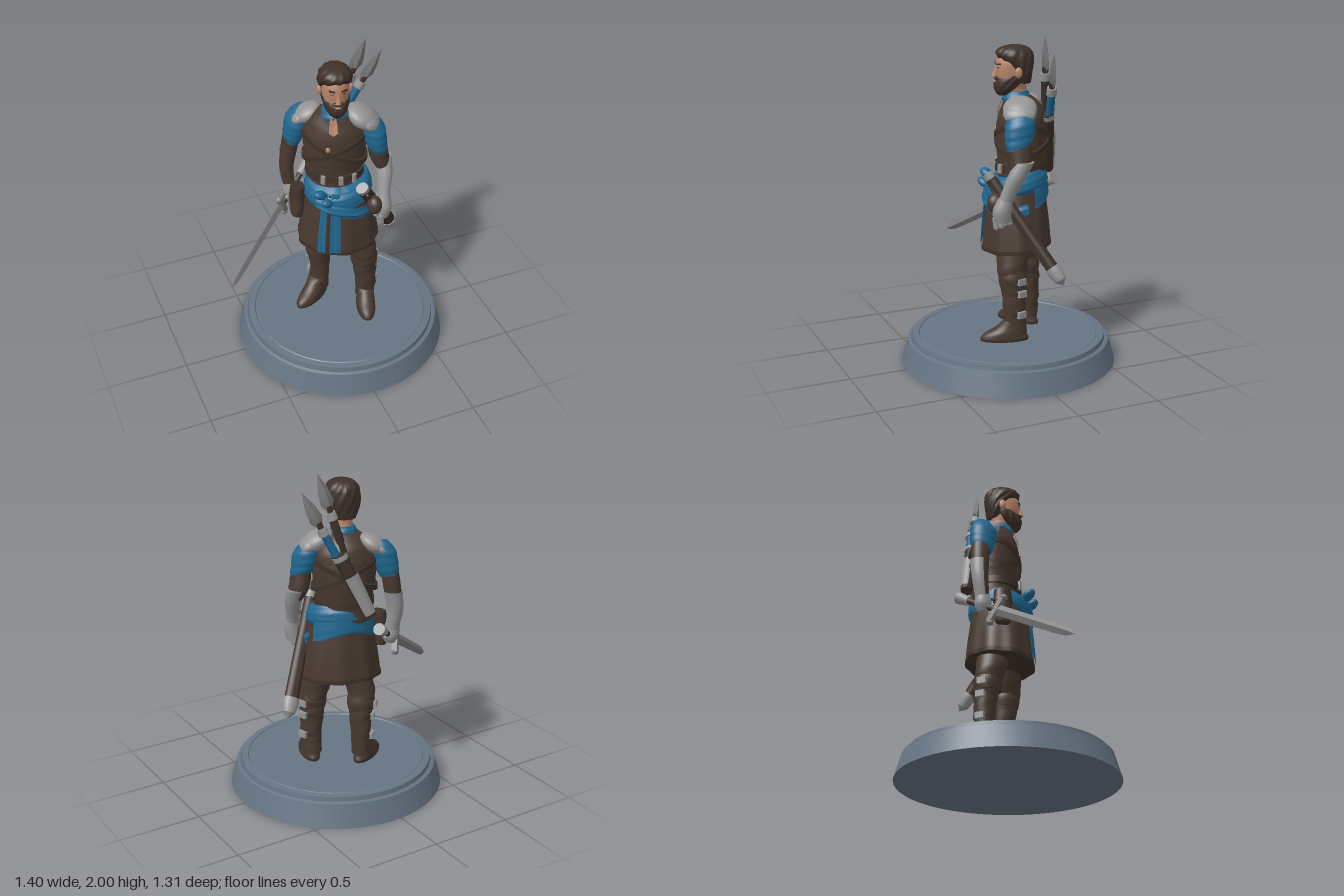
import * as THREE from 'three';
import { toCreasedNormals } from 'three/addons/utils/BufferGeometryUtils.js';

const material = (name, color) => new THREE.MeshStandardMaterial({ name, color, side: THREE.DoubleSide });
const brown = material('brown cloth', 0x483930);
const leather = material('dark leather', 0x3f3129);
const blue = material('blue cloth', 0x20678f);
const grey = material('light grey armour', 0x949494);
const steel = material('steel', 0x7c7c7c);
const skin = material('skin', 0xb98468);
const stone = material('base slate', 0x667483);

const V = (x, y, z) => new THREE.Vector3(x, y, z);

function add(parent, name, geometry, mat, pos = [0, 0, 0], rot = [0, 0, 0], scale = [1, 1, 1]) {
  const mesh = new THREE.Mesh(geometry, mat);
  mesh.name = name;
  mesh.position.set(...pos);
  mesh.rotation.set(...rot);
  mesh.scale.set(...scale);
  parent.add(mesh);
  return mesh;
}

function frame(parent, name, x, z, yaw) {
  const g = new THREE.Group();
  g.name = name;
  g.position.set(x, 0, z);
  g.rotation.y = yaw;
  parent.add(g);
  return g;
}

// group whose y axis runs from one point to another; hint sets its x axis
function aimed(parent, name, from, to, hint) {
  const g = new THREE.Group();
  const y = to.clone().sub(from).normalize();
  const z = hint.clone().cross(y).normalize();
  g.quaternion.setFromRotationMatrix(new THREE.Matrix4().makeBasis(y.clone().cross(z), y, z));
  g.position.copy(from);
  g.name = name;
  parent.add(g);
  return g;
}

// smooth skin over horizontal ellipses [x, y, z, rx, rz], listed upwards
function loft(parent, name, mat, rings, { arc = null, bump = () => 0, lift = () => 0, seg = 32, sub = 4 } = {}) {
  const rows = [];
  const at = (i) => rings[Math.min(Math.max(i, 0), rings.length - 1)];
  for (let i = 0; i < rings.length - 1; i++) {
    for (let s = 0; s < sub; s++) {
      const t = s / sub;
      rows.push(at(i).map((b, k) => {
        const a = at(i - 1)[k], c = at(i + 1)[k], d = at(i + 2)[k];
        return b + 0.5 * t * (c - a + t * (2 * a - 5 * b + 4 * c - d + t * (3 * (b - c) + d - a)));
      }));
    }
  }
  rows.push(at(rings.length - 1));
  const [a0, a1] = arc ?? [0, Math.PI * 2];
  const pos = [], idx = [], w = seg + 1;
  for (const [x, y, z, rx, rz] of rows) {
    for (let i = 0; i <= seg; i++) {
      const a = a0 + (a1 - a0) * (i / seg), k = 1 + bump(a, y);
      pos.push(x + Math.cos(a) * rx * k, y + lift(a), z + Math.sin(a) * rz * k);
    }
  }
  for (let j = 0; j < rows.length - 1; j++) {
    for (let i = 0; i < seg; i++) {
      const p = j * w + i;
      idx.push(p, p + w, p + 1, p + w, p + w + 1, p + 1);
    }
  }
  if (!arc) {
    const n = rows.length, low = rows[0], high = rows[n - 1];
    pos.push(low[0], low[1], low[2], high[0], high[1], high[2]);
    for (let i = 0; i < seg; i++) {
      idx.push(n * w, i, i + 1, n * w + 1, (n - 1) * w + i + 1, (n - 1) * w + i);
    }
  }
  const g = new THREE.BufferGeometry();
  g.setAttribute('position', new THREE.Float32BufferAttribute(pos, 3));
  g.setIndex(idx);
  return add(parent, name, toCreasedNormals(g, 0.9), mat);
}

const ball = () => new THREE.SphereGeometry(1, 24, 16);
const box = (x, y, z) => new THREE.BoxGeometry(x, y, z);
const rod = (r0, r1, h, n = 16) => toCreasedNormals(new THREE.CylinderGeometry(r1, r0, h, n), 0.7);
const profile = (pts, n) => toCreasedNormals(new THREE.LatheGeometry(pts.map((p) => new THREE.Vector2(...p)), n), 0.5);

export function createModel() {
  const model = new THREE.Group();
  model.name = 'armoured traveller';

  // round base with a raised, grooved rim
  add(model, 'base', profile([[0, 0], [0.655, 0], [0.615, 0.14], [0.598, 0.147], [0.59, 0.143], [0.585, 0.17],
    [0.548, 0.174], [0.543, 0.168], [0.537, 0.172], [0, 0.172]], 96), stone, [0.042, 0, 0]);

  // legs, boots and feet
  const legs = [
    { side: 'left', foot: [0.185, 0.087, -0.3], rings: [[0.207, 0.22, 0.015, 0.058, 0.062], [0.203, 0.35, 0.03, 0.064, 0.066],
      [0.195, 0.47, 0.03, 0.073, 0.074], [0.188, 0.56, 0.035, 0.078, 0.084], [0.17, 0.65, 0.03, 0.09, 0.095], [0.14, 0.8, 0, 0.1, 0.1]] },
    { side: 'right', foot: [-0.1, -0.13, -1.0], rings: [[-0.03, 0.22, -0.17, 0.055, 0.058], [-0.03, 0.35, -0.17, 0.06, 0.062],
      [-0.03, 0.47, -0.165, 0.067, 0.07], [-0.04, 0.56, -0.155, 0.078, 0.08], [-0.045, 0.65, -0.14, 0.085, 0.09], [0, 0.8, -0.1, 0.1, 0.1]] },
  ];
  for (const { side, foot, rings } of legs) {
    loft(model, side + 'Leg', brown, rings, { bump: (a, y) => 0.025 * Math.sin(y * 60 + 2 * a) });
    const [kx, ky, kz, kr] = rings[3];
    loft(model, side + 'BootCuff', brown, [[kx, ky - 0.05, kz, kr, kr], [kx, ky, kz, kr + 0.008, kr + 0.008], [kx, ky + 0.04, kz, kr, kr]]);
    for (const [y, i] of [[0.345, 1], [0.475, 2], [0.55, 3]]) {
      const [x, , z, rx, rz] = rings[i], s = side === 'left' ? 1 : -1;
      const a = s > 0 ? -0.25 : 3.9;
      loft(model, side + 'BootStrap', leather, [[x, y - 0.013, z, rx + 0.005, rz + 0.005], [x, y + 0.013, z, rx + 0.005, rz + 0.005]], { arc: [a - 1.1, a + 1.1] });
      add(model, side + 'BootBuckle', box(0.024, 0.038, 0.055), grey,
        [x + Math.cos(a) * (rx + 0.006), y, z + Math.sin(a) * (rz + 0.006)], [0, -a, 0]);
    }
    const f = frame(model, side + 'Foot', ...foot);
    loft(f, 'sole', leather, [[0, 0.17, 0, 0.059, 0.145], [0, 0.188, 0, 0.061, 0.147]]);
    loft(f, 'shoe', brown, [[0, 0.185, 0, 0.058, 0.142], [0, 0.215, -0.005, 0.06, 0.13], [0, 0.25, -0.035, 0.055, 0.092], [0, 0.31, -0.07, 0.058, 0.062]],
      { bump: (a, y) => 0.02 * Math.sin(y * 110) });
  }

  // coat skirt with folds, hem and hanging sash tails
  const skirt = frame(model, 'coatSkirt', 0.045, -0.05, -0.3);
  const fold = (a, y) => 0.025 * Math.cos(a * 9) * Math.min(1, (1.15 - y) * 3);
  const skirtRings = [[0, 0.725, 0, 0.245, 0.205], [0, 0.9, 0, 0.222, 0.19], [0, 1.14, 0, 0.18, 0.16]];
  const grown = (rings, d) => rings.map(([x, y, z, rx, rz]) => [x, y, z, rx + d, rz + d]);
  const sway = (a) => -0.015 * Math.sin(a);
  loft(skirt, 'skirt', brown, skirtRings, { bump: fold, lift: sway, seg: 72 });
  loft(skirt, 'hem', leather, [[0, 0.717, 0, 0.247, 0.207], [0, 0.742, 0, 0.247, 0.207]], { bump: fold, lift: sway, seg: 72 });
  for (const [a0, a1, d] of [[1.58, 1.84, 0.012], [1.95, 2.15, 0.009]]) {
    loft(skirt, 'sashTail', blue, grown(skirtRings, d), { arc: [a0, a1], bump: (a, y) => fold(a, y) + 0.012 * Math.cos(a * 45), seg: 16 });
  }
  loft(skirt, 'frontOpeningEdge', leather, grown(skirtRings, 0.008), { arc: [1.86, 1.93], bump: fold, lift: sway, seg: 4 });

  // waist sash: main wrap, lower diagonal wrap and pointed back drape
  const crease = (a, y) => 0.018 * Math.sin(y * 170 + a * 2);
  loft(skirt, 'sashWrap', blue, [[0, 1.05, 0, 0.185, 0.17], [0, 1.07, 0, 0.203, 0.188], [0, 1.13, 0, 0.198, 0.183], [0, 1.17, 0, 0.175, 0.155]],
    { bump: crease, lift: (a) => -0.035 * Math.sin(a) + 0.012 * Math.cos(a), seg: 48 });
  loft(skirt, 'sashLowerWrap', blue, [[0, 1.0, 0, 0.212, 0.193], [0, 1.03, 0, 0.222, 0.203], [0, 1.075, 0, 0.205, 0.19]],
    { arc: [-0.25, 2.3], bump: crease, lift: (a) => -0.065 * Math.cos(a - 0.3) });
  loft(skirt, 'sashBackDrape', blue, [[0, 1.01, 0, 0.212, 0.192], [0, 1.08, 0, 0.208, 0.189], [0, 1.16, 0, 0.192, 0.175]],
    { arc: [3.5, 5.8], bump: crease, lift: (a) => 0.03 * Math.cos((a - 4.65) * 2.6) + 0.005 });
  for (const [x, y, z, s] of [[-0.115, 1.135, 0.07, 1], [-0.085, 1.09, 0.105, 0.9]]) {
    add(model, 'sashKnot', ball(), blue, [x, y, z], [0, 0.5, -0.5], [0.05 * s, 0.028 * s, 0.035 * s]);
  }

  // torso, straps and belt
  const torso = frame(model, 'torso', 0.04, -0.09, -0.5);
  const trunk = [[0, 1.1, 0, 0.17, 0.148], [0, 1.22, 0, 0.165, 0.142], [0, 1.35, 0, 0.185, 0.155], [0, 1.48, 0, 0.188, 0.148],
    [0, 1.56, 0, 0.155, 0.122], [0, 1.62, 0.02, 0.085, 0.082]];
  loft(torso, 'jerkin', brown, trunk, { bump: (a, y) => 0.012 * Math.sin(y * 75 + 3 * Math.cos(a)), seg: 48 });
  for (const s of [-1, 1]) {
    loft(torso, 'chestStrap', leather, [[0, 1.365, 0, 0.196, 0.164], [0, 1.395, 0, 0.198, 0.165]], { lift: (a) => s * 0.09 * Math.cos(a) });
  }
  loft(torso, 'belt', leather, [[0, 1.185, 0.01, 0.178, 0.156], [0, 1.23, 0.01, 0.176, 0.154]]);
  for (const a of [0.75, 1.25, 1.85]) {
    add(torso, 'beltFitting', box(0.026, 0.055, 0.016), grey, [Math.cos(a) * 0.178, 1.208, 0.01 + Math.sin(a) * 0.158], [0, Math.PI / 2 - a, 0]);
  }
  loft(torso, 'openCollarSkin', skin, [[0, 1.51, 0, 0.188, 0.148], [0, 1.56, 0, 0.161, 0.13], [0, 1.6, 0.015, 0.115, 0.106]], { arc: [1.38, 1.66], lift: (a) => 0.15 * Math.abs(a - 1.52), seg: 8 });
  add(torso, 'pendant', ball(), skin, [-0.02, 1.42, 0.158], [0, 0, 0], [0.014, 0.018, 0.008]);

  // layered shoulder plates, the right one set lower and further back
  for (const [s, x, y, z, k] of [[1, 0.16, 1.57, 0, 1], [-1, 0.165, 1.555, -0.03, 0.86]]) {
    add(torso, 'shoulderPlate', ball(), grey, [s * x, y, z], [0, 0, -s * 0.5], [0.105 * k, 0.06 * k, 0.1 * k]);
    add(torso, 'shoulderPlateRim', ball(), grey, [s * (x + 0.045), y - 0.022, z], [0, 0, -s * 0.7], [0.07 * k, 0.047 * k, 0.095 * k]);
  }

  // left arm: padded sleeve, elbow, bracer and gauntlet
  const ridge = (a, y) => 0.045 * Math.abs(Math.sin(y * 62)) - 0.02;
  const backRise = { bump: ridge, sub: 8, lift: (a) => -0.018 * Math.sin(a) };
  loft(model, 'leftSleeve', blue, [[0.265, 1.365, 0.03, 0.056, 0.071], [0.25, 1.42, 0.02, 0.068, 0.088], [0.235, 1.51, 0.01, 0.072, 0.088], [0.2, 1.58, 0, 0.05, 0.06]], backRise);
  loft(model, 'leftElbow', brown, [[0.3, 1.22, 0.04, 0.045, 0.05], [0.28, 1.29, 0.025, 0.058, 0.066], [0.262, 1.39, 0.025, 0.055, 0.07]], { bump: ridge });
  loft(model, 'leftBracer', grey, [[0.268, 1.04, 0.125, 0.038, 0.046], [0.28, 1.1, 0.1, 0.039, 0.048], [0.3, 1.2, 0.058, 0.048, 0.058], [0.31, 1.285, 0.015, 0.048, 0.056]]);
  loft(model, 'leftHand', grey, [[0.256, 0.93, 0.13, 0.045, 0.05], [0.262, 1.0, 0.135, 0.053, 0.056], [0.268, 1.07, 0.118, 0.04, 0.045]]);

  // right arm: padded sleeve, forearm with outer bracer, gripping hand
  loft(model, 'rightSleeve', blue, [[-0.17, 1.36, -0.25, 0.051, 0.062], [-0.16, 1.42, -0.24, 0.062, 0.074], [-0.142, 1.51, -0.225, 0.066, 0.08], [-0.115, 1.57, -0.205, 0.05, 0.06]], backRise);
  const forearm = [[-0.195, 1.03, -0.245, 0.036, 0.038], [-0.204, 1.15, -0.262, 0.042, 0.046], [-0.187, 1.27, -0.262, 0.05, 0.054]];
  loft(model, 'rightForearm', brown, [...forearm, [-0.17, 1.4, -0.25, 0.05, 0.06]]);
  loft(model, 'rightBracer', grey, grown(forearm, 0.007), { arc: [3.1, 6.5] });
  loft(model, 'rightHand', grey, [[-0.19, 0.94, -0.235, 0.03, 0.035], [-0.19, 0.985, -0.24, 0.048, 0.052], [-0.193, 1.05, -0.245, 0.037, 0.04]]);
  for (let i = 0; i < 4; i++) {
    add(model, 'leftFinger', new THREE.CapsuleGeometry(0.016, 0.055, 4, 10), grey, [0.24 + 0.012 * (i % 2), 0.922 + 0.008 * i, 0.168 - i * 0.027], [0.1, 0, 0.1]);
    add(model, 'rightFinger', new THREE.CapsuleGeometry(0.013, 0.045, 4, 10), grey, [-0.222 + i * 0.022, 0.95 + i * 0.017, -0.2 - i * 0.017], [0.2, 0, 0.3]);
  }
  add(model, 'leftThumb', new THREE.CapsuleGeometry(0.016, 0.05, 4, 10), grey, [0.215, 0.985, 0.16], [0.2, 0, -0.3]);

  // sword in the right hand
  const sword = aimed(model, 'sword', V(-0.05, 1.075, -0.335), V(-0.7, 0.64, 0.11), V(0.2, 1, 0));
  add(sword, 'pommel', rod(0.036, 0.028, 0.09), grey, [0, 0.03, 0]);
  add(sword, 'grip', rod(0.018, 0.018, 0.24), leather, [0, 0.17, 0]);
  add(sword, 'guard', box(0.17, 0.03, 0.034), steel, [0, 0.3, 0]);
  for (const s of [-1, 1]) add(sword, 'guardEnd', ball(), steel, [s * 0.085, 0.305, 0], [0, 0, 0], [0.018, 0.024, 0.022]);
  add(sword, 'blade', profile([[0, 0], [0.034, 0], [0.03, 0.46], [0.025, 0.55], [0, 0.6]], 4), steel, [0, 0.305, 0], [0, 0, 0], [1, 1, 0.55]);

  // scabbard at the left hip
  const scabbard = aimed(model, 'scabbard', V(0.11, 1.19, 0.165), V(0.475, 0.575, -0.16), V(1, 0.4, 0));
  add(scabbard, 'throat', rod(0.038, 0.034, 0.06), grey, [0, 0.03, 0], [0, 0, 0], [1, 1, 0.85]);
  add(scabbard, 'sheath', rod(0.038, 0.045, 0.64), leather, [0, 0.36, 0], [0, 0, 0], [1, 1, 0.82]);
  add(scabbard, 'sheathRidge', box(0.016, 0.6, 0.074), brown, [0, 0.36, 0]);
  add(scabbard, 'tipCap', profile([[0, 0], [0.048, 0], [0.052, 0.035], [0.04, 0.09], [0, 0.125]], 20), grey, [0, 0.665, 0], [0, 0, 0], [1, 1, 0.85]);

  // hip pouches
  loft(model, 'rightPouch', brown, [[-0.195, 0.89, -0.12, 0.035, 0.045], [-0.195, 0.95, -0.12, 0.042, 0.058], [-0.19, 1.07, -0.12, 0.04, 0.05]]);
  loft(model, 'rightPouchFlap', leather, [[-0.193, 1.02, -0.12, 0.046, 0.06], [-0.188, 1.1, -0.12, 0.04, 0.05]]);
  add(model, 'leftPouch', ball(), brown, [0.2, 1.03, 0.15], [0, 0, 0], [0.045, 0.06, 0.052]);

  // quiver with a grey wrap on its outer side, and two short spears across the back
  const quiver = aimed(model, 'quiver', V(-0.01, 1.16, -0.285), V(0.17, 1.58, -0.19), V(1, 0, 0.5));
  add(quiver, 'quiverBody', rod(0.034, 0.044, 0.42), leather, [0, 0.2, 0]);
  add(quiver, 'quiverWrap', new THREE.CylinderGeometry(0.052, 0.042, 0.26, 20, 1, true, 2.5, 2.5), grey, [0, 0.14, 0]);
  add(quiver, 'quiverBand', rod(0.046, 0.046, 0.03), grey, [0, 0.39, 0]);
  const spears = [[V(0.03, 1.25, -0.25), V(0.25, 2.0, -0.138), leather], [V(0.06, 1.3, -0.25), V(0.355, 1.905, -0.145), blue]];
  for (const [from, to, wrap] of spears) {
    const spear = aimed(model, 'spear', from, to, V(1, 0, 0)), length = from.distanceTo(to);
    add(spear, 'shaft', rod(0.018, 0.018, length - 0.2), leather, [0, (length - 0.2) / 2, 0]);
    add(spear, 'wrap', rod(0.024, 0.024, 0.15), wrap, [0, length - 0.35, 0]);
    add(spear, 'socket', rod(0.032, 0.028, 0.045), grey, [0, length - 0.26, 0]);
    add(spear, 'head', profile([[0, 0], [0.02, 0], [0.022, 0.03], [0.045, 0.07], [0.034, 0.15], [0, 0.25]], 4), steel, [0, length - 0.25, 0], [0, 0, 0], [1, 1, 0.5]);
  }

  // head, hair and beard
  const head = frame(model, 'head', 0.025, -0.045, -0.22);
  loft(head, 'scarf', blue, [[0, 1.59, -0.02, 0.092, 0.088], [0, 1.62, -0.015, 0.082, 0.082], [0, 1.655, -0.02, 0.064, 0.064]], { bump: (a, y) => 0.03 * Math.sin(y * 160 + a) });
  loft(head, 'face', skin, [[0, 1.62, -0.025, 0.055, 0.055], [0, 1.67, -0.005, 0.057, 0.068], [0, 1.71, 0.012, 0.07, 0.086], [0, 1.765, 0.01, 0.078, 0.098], [0, 1.82, 0.01, 0.078, 0.098], [0, 1.87, 0, 0.07, 0.088]]);
  const strand = (a, y) => 0.03 * Math.sin(a * 11 + y * 60);
  loft(head, 'hair', leather, [[0, 1.7, -0.055, 0.058, 0.042], [0, 1.75, -0.045, 0.084, 0.06], [0, 1.8, -0.033, 0.095, 0.08], [0, 1.845, -0.012, 0.099, 0.102], [0, 1.88, 0, 0.093, 0.108], [0, 1.91, 0, 0.066, 0.08], [0, 1.925, -0.005, 0.02, 0.025]], { bump: strand, seg: 64 });
  loft(head, 'beard', leather, [[0, 1.63, 0.065, 0.025, 0.03], [0, 1.66, 0.05, 0.056, 0.066], [0, 1.7, 0.03, 0.074, 0.089], [0, 1.735, 0.012, 0.081, 0.088], [0, 1.75, 0, 0.08, 0.07]], { bump: strand, seg: 64 });
  add(head, 'moustache', ball(), leather, [0, 1.733, 0.105], [0, 0, 0], [0.036, 0.011, 0.014]);
  add(head, 'lips', ball(), skin, [0, 1.713, 0.116], [0, 0, 0], [0.017, 0.006, 0.008]);
  add(head, 'nose', rod(0.02, 0.009, 0.06, 8), skin, [0, 1.77, 0.11], [-0.2, 0, 0], [0.8, 1, 1]);
  for (const s of [-1, 1]) {
    add(head, 'eye', ball(), leather, [s * 0.032, 1.796, 0.098], [0, s * 0.4, 0], [0.012, 0.004, 0.006]);
    add(head, 'brow', box(0.036, 0.008, 0.012), leather, [s * 0.034, 1.816, 0.1], [0, s * 0.35, s * 0.1]);
    add(head, 'ear', ball(), skin, [s * 0.09, 1.77, -0.01], [0, 0, 0], [0.014, 0.032, 0.022]);
  }
  return model;
}
